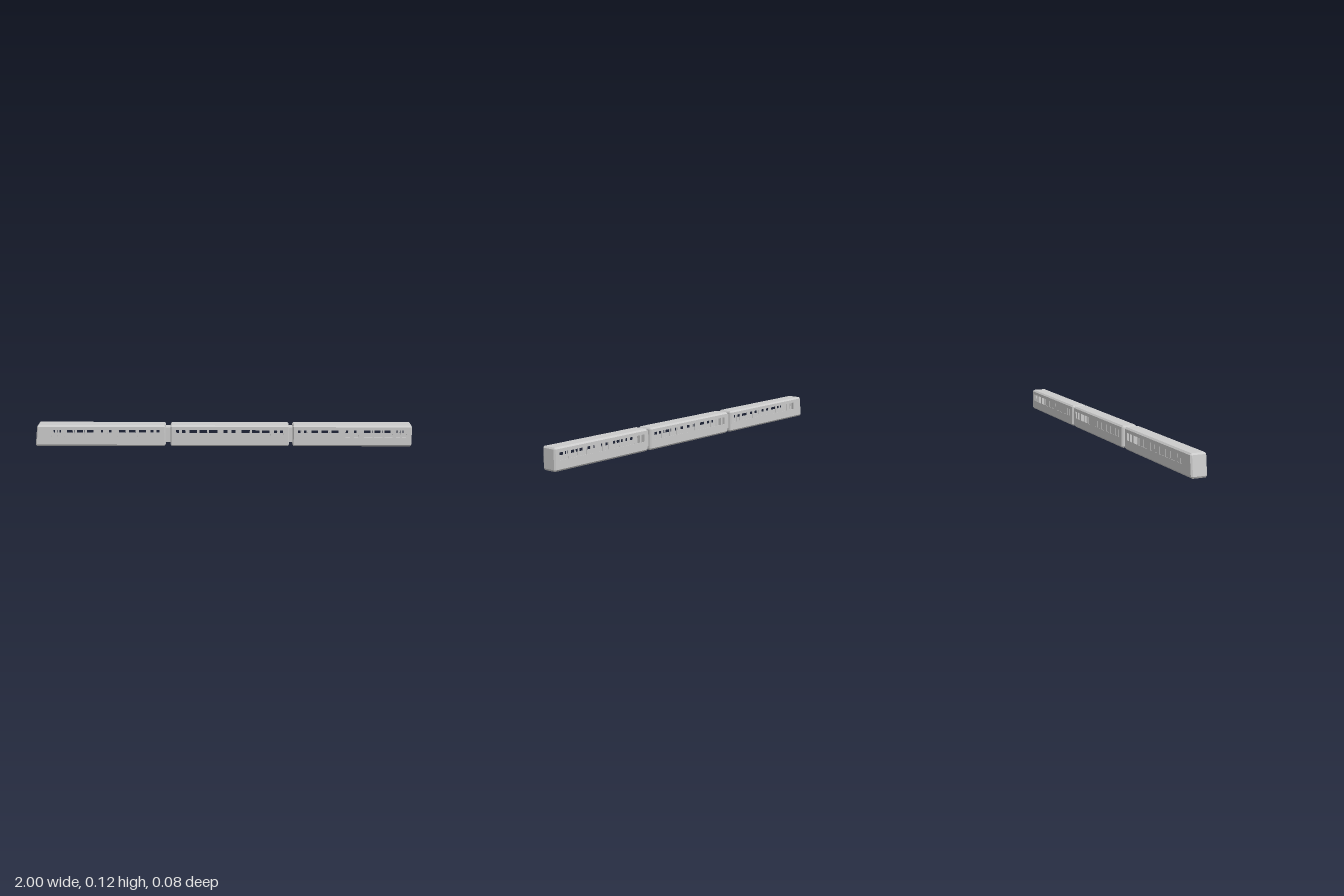
import * as THREE from 'three';

const material = new THREE.MeshStandardMaterial({ color: 0xcccccc, flatShading: true, side: THREE.DoubleSide });
const H = 0.115, W = 0.042, INSET = 0.034;   // height, half width, half width of flat roof
const LOW = 0.009, HIGH = 0.107;             // straight part of the side walls
const BEVEL = 0.006, WALL = 0.002;

// Window centres from the middle of a car, mirrored: [offset, width]
const WINDOWS = [[0.022, 0.023], [0.086, 0.046], [0.14, 0.044], [0.194, 0.044], [0.245, 0.021], [0.277, 0.021]];

function addMesh(group, geometry, name) {
  const mesh = new THREE.Mesh(geometry, material);
  mesh.name = name;
  group.add(mesh);
  return mesh;
}

// Roof, floor and bevelled ends: rings joined along x, leaving out the two side strips
function shellGeometry(x0, x1, rake) {
  const full = [[INSET, 0], [W, LOW], [W, HIGH], [INSET, H], [-INSET, H], [-W, HIGH], [-W, LOW], [-INSET, 0]];
  const end = full.map(([z, y]) => [Math.sign(z) * INSET, THREE.MathUtils.clamp(y, LOW, HIGH)]);
  const rings = [[x0, end, rake], [x0 + BEVEL, full, rake], [x1 - BEVEL, full, 0], [x1, end, 0]];
  const points = [], index = [];
  for (const [x, section, lean] of rings)
    for (const [z, y] of section) points.push(x + lean * y / H, y, z);
  for (let r = 0; r < 3; r++)
    for (let i = 0; i < 8; i++) {
      if (r === 1 && (i === 1 || i === 5)) continue;
      const a = r * 8 + i, b = r * 8 + (i + 1) % 8;
      index.push(a, a + 8, b, b, a + 8, b + 8);
    }
  // flat end faces
  index.push(1, 2, 5, 1, 5, 6, 25, 29, 26, 25, 30, 29);
  const geometry = new THREE.BufferGeometry();
  geometry.setAttribute('position', new THREE.Float32BufferAttribute(points, 3));
  geometry.setIndex(index);
  const flat = geometry.toNonIndexed();
  flat.computeVertexNormals();
  return flat;
}

// Side wall with the window openings cut through
function sideGeometry(x0, x1, rake, middle) {
  const left = x0 + BEVEL, right = x1 - BEVEL;
  const shape = new THREE.Shape([
    new THREE.Vector2(left + rake * LOW / H, LOW), new THREE.Vector2(right, LOW),
    new THREE.Vector2(right, HIGH), new THREE.Vector2(left + rake * HIGH / H, HIGH),
  ]);
  for (const [offset, width] of WINDOWS)
    for (const s of [-1, 1]) {
      const c = middle + s * offset, h = width / 2, y0 = 0.052, y1 = 0.09;
      shape.holes.push(new THREE.Path([
        new THREE.Vector2(c - h, y0), new THREE.Vector2(c - h, y1),
        new THREE.Vector2(c + h, y1), new THREE.Vector2(c + h, y0),
      ]));
    }
  return new THREE.ExtrudeGeometry(shape, { depth: WALL, bevelEnabled: false });
}

function makeCar(name, x0, x1, middle, rake = 0) {
  const car = new THREE.Group();
  car.name = name;
  addMesh(car, shellGeometry(x0, x1, rake), 'bodyShell');
  addMesh(car, sideGeometry(x0, x1, rake, middle), 'frontSideWall').position.z = W - WALL;
  addMesh(car, sideGeometry(x0, x1, rake, middle), 'backSideWall').position.z = -W;
  return car;
}

export function createModel() {
  const train = new THREE.Group();
  train.name = 'train';
  // The leading car is longer, with a raked cab end
  train.add(makeCar('cabCar', -1, -0.307, -0.626, 0.014));
  train.add(makeCar('middleCar', -0.281, 0.349, 0.033));
  train.add(makeCar('rearCar', 0.368, 1, 0.682));
  // Gangways between the cars
  for (const [a, b] of [[-0.307, -0.281], [0.349, 0.368]]) {
    const gangway = addMesh(train, new THREE.BoxGeometry(b - a, 0.08, 0.052), 'gangway');
    gangway.position.set((a + b) / 2, 0.06, 0);
  }
  return train;
}
